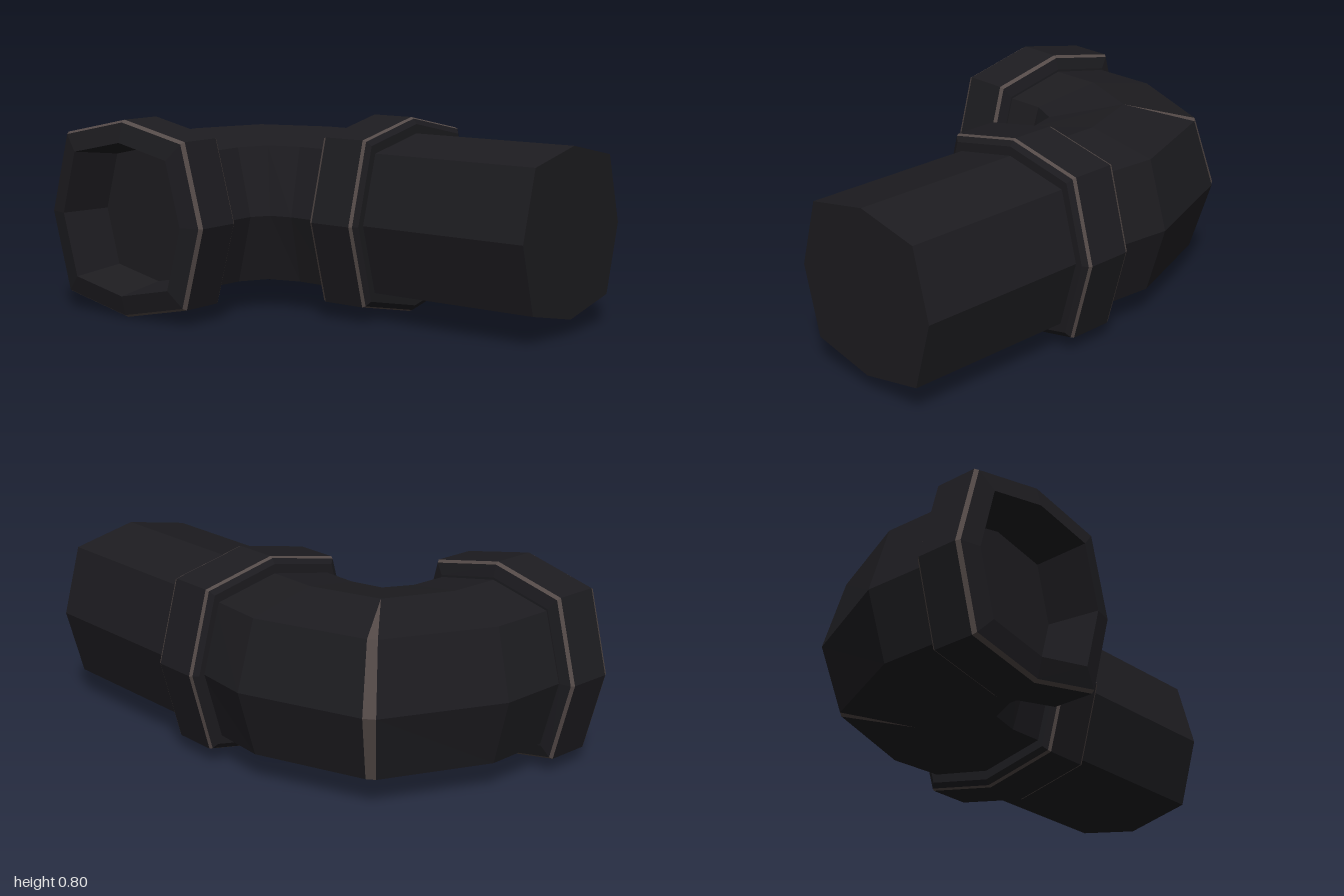
import * as THREE from 'three';

const dark = new THREE.MeshStandardMaterial({ color: 0x1d1c20, flatShading: true });
const worn = new THREE.MeshStandardMaterial({ color: 0x544a48, flatShading: true });
const CY = 0.4;

// Squarish octagon: [sideways, upward], starting at the outside of the bend
const OCT = [[1, 0], [0.78, 0.83], [0, 1], [-0.78, 0.83], [-1, 0], [-0.78, -0.83], [0, -1], [0.78, -0.83]];

// Section through centre, outer and inner points given as [x, z]
function section(c, outer, inner, high) {
  return OCT.map(([s, v]) => {
    const side = s > 0 ? outer : inner;
    const k = Math.abs(s);
    return new THREE.Vector3(c[0] + (side[0] - c[0]) * k, CY + v * high, c[1] + (side[1] - c[1]) * k);
  });
}

// Square-on sections for the run along x and the run along z
const alongX = (x, wide, high) => section([x, -0.585], [x, -0.585 - wide], [x, -0.585 + wide], high);
const alongZ = (z, wide, high) => section([0.208, z], [0.208 + wide, z], [0.208 - wide, z], high);

// Skin a list of sections, with optional flat caps
function loft(name, rings, material, capStart = false, capEnd = false) {
  const pos = [];
  const tri = (a, b, c) => {
    if (new THREE.Triangle(a, b, c).getArea() < 1e-7) return;
    for (const p of [a, b, c]) pos.push(p.x, p.y, p.z);
  };
  for (let r = 0; r < rings.length - 1; r++) {
    const a = rings[r], b = rings[r + 1];
    for (let i = 0; i < 8; i++) {
      const j = (i + 1) % 8;
      tri(a[i], a[j], b[j]);
      tri(a[i], b[j], b[i]);
    }
  }
  const first = rings[0], last = rings[rings.length - 1];
  for (let i = 1; i < 7; i++) {
    if (capStart) tri(first[0], first[i + 1], first[i]);
    if (capEnd) tri(last[0], last[i], last[i + 1]);
  }
  const geometry = new THREE.BufferGeometry();
  geometry.setAttribute('position', new THREE.Float32BufferAttribute(pos, 3));
  geometry.computeVertexNormals();
  const mesh = new THREE.Mesh(geometry, material);
  mesh.name = name;
  return mesh;
}

export function createModel() {
  const model = new THREE.Group();
  model.name = 'pipeElbow';

  // Elbow, mitred in two halves with a worn wedge between them
  const mid = [0.11, -0.47], midInner = [-0.165, -0.19];
  const mitreA = section(mid, [0.38, -0.735], midInner, 0.335);
  const mitreB = section(mid, [0.412, -0.695], midInner, 0.335);
  model.add(loft('elbowBack', [
    alongX(-0.45, 0.355, 0.33),
    section([-0.17, -0.585], [-0.1, -0.945], [-0.24, -0.23], 0.333),
    mitreA,
  ], dark));
  model.add(loft('elbowWornEdge', [mitreA, mitreB], worn));
  model.add(loft('elbowFront', [
    mitreB,
    section([0.21, -0.18], [0.592, -0.2], [-0.145, -0.095], 0.335),
    alongZ(0.06, 0.358, 0.335),
  ], dark));

  // Straight pipe with a closed end
  model.add(loft('straightPipe', [alongZ(0.06, 0.355, 0.335), alongZ(1, 0.355, 0.335)], dark, false, true));

  // Collar round the straight pipe: [z, half width, half height]
  const ringsZ = [
    [0.033, 0.34, 0.32], [0.033, 0.385, 0.373], [0.047, 0.408, 0.394], [0.06, 0.415, 0.4],
    [0.243, 0.415, 0.4], [0.256, 0.408, 0.394], [0.27, 0.385, 0.373], [0.27, 0.34, 0.32],
  ].map((p) => alongZ(...p));
  // Open socket, from its floor out over the rim and back: [x, half width, half height]
  const ringsX = [
    [-0.41, 0.29, 0.28], [-0.625, 0.325, 0.31], [-0.605, 0.405, 0.39], [-0.588, 0.415, 0.4],
    [-0.41, 0.415, 0.4], [-0.397, 0.405, 0.39], [-0.385, 0.36, 0.34], [-0.385, 0.33, 0.31],
  ].map((p) => alongX(...p));

  // Both collars carry worn strips along their two outer edges
  for (const [name, rings, open] of [['pipeCollar', ringsZ, false], ['socketCollar', ringsX, true]]) {
    const collar = new THREE.Group();
    collar.name = name;
    collar.add(
      loft(name + 'BackRim', rings.slice(0, 3), dark, open),
      loft(name + 'BackWornEdge', rings.slice(2, 4), worn),
      loft(name + 'Band', rings.slice(3, 5), dark),
      loft(name + 'FrontWornEdge', rings.slice(4, 6), worn),
      loft(name + 'FrontRim', rings.slice(5), dark),
    );
    model.add(collar);
  }
  return model;
}
